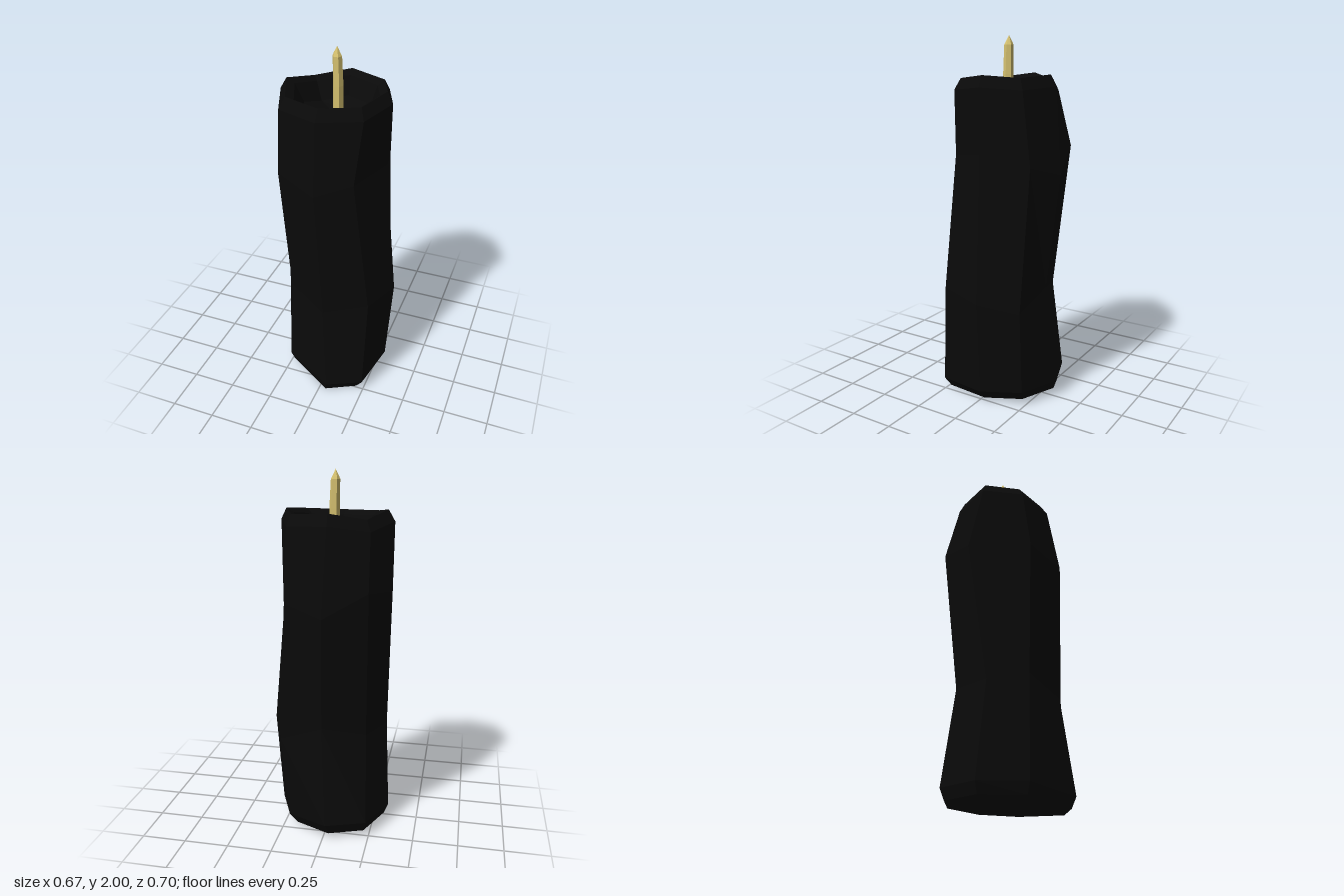
import * as THREE from 'three';

// Closed skin through stacked rings of points, with a fan at each end
function loft(rings, bottom, top) {
  const n = rings[0].length, idx = [];
  const pos = [...rings.flat(2), ...bottom, ...top];
  const c0 = rings.length * n, c1 = c0 + 1, last = c0 - n;
  for (let i = 0; i < n; i++) {
    const k = (i + 1) % n;
    for (let j = 0; j < last; j += n) idx.push(j + i, j + k, j + n + i, j + k, j + n + k, j + n + i);
    idx.push(c0, k, i, c1, last + i, last + k);
  }
  const g = new THREE.BufferGeometry();
  g.setAttribute('position', new THREE.Float32BufferAttribute(pos, 3));
  g.setIndex(idx);
  g.computeVertexNormals();
  return g;
}

// Ellipse of points between x and z extents, running from +x towards -z
function ring(sides, y, x0, x1, z0, z1) {
  return Array.from({ length: sides }, (_, i) => {
    const a = i / sides * Math.PI * 2;
    return [(x0 + x1 + Math.cos(a) * (x1 - x0)) / 2, y, (z0 + z1 - Math.sin(a) * (z1 - z0)) / 2];
  });
}

// Eight-sided ring pushed out of true: a height per point, and [dx, dz] dents by point number
function waxRing(y, extents, heights, dents = {}) {
  const [x0, x1, z0, z1] = extents, cx = (x0 + x1) / 2, cz = (z0 + z1) / 2;
  return ring(8, y, ...extents).map(([x, py, z], i) => {
    const bulge = i % 2 ? 1.04 : 1, [dx, dz] = dents[i] ?? [0, 0];
    return [cx + (x - cx) * bulge + dx, py + heights[i], cz + (z - cz) * bulge + dz];
  });
}

export function createModel() {
  const model = new THREE.Group();
  const wax = new THREE.MeshStandardMaterial({ color: 0x0a0a0a, flatShading: true });
  const cord = new THREE.MeshStandardMaterial({ color: 0xd6c270, flatShading: true });

  // Uneven heights around the base, waist, shoulder and lip
  const foot = [0.015, 0.025, 0.03, 0.03, 0.03, 0.03, 0, 0];
  const waist = [0, -0.04, 0.05, 0, 0, 0.04, -0.04, 0.03];
  const shoulder = [0.06, 0, -0.06, 0.07, 0.05, 0.04, -0.01, 0.03];
  const lip = [0.01, -0.003, 0.01, -0.025, 0.01, -0.015, -0.02, -0.01];
  const floor = [0, 0, 0, 0, 0, 0, 0, 0];

  // Dents of the moulded column
  const footDents = {
    0: [0, -0.03], 1: [-0.007, 0.007], 3: [0.015, -0.015], 4: [0, -0.04],
    5: [0.015, -0.055], 6: [0.07, 0], 7: [0.028, 0],
  };
  const waistDents = { 0: [0, -0.035], 1: [0, -0.045], 3: [0.005, 0.005], 5: [0.015, -0.015], 7: [0.01, 0.012] };
  const shoulderDents = {
    1: [0.02, -0.022], 2: [0.03, 0], 3: [0.02, -0.03], 4: [0, -0.09],
    5: [0.007, -0.007], 6: [0.02, 0], 7: [-0.025, -0.025],
  };

  // Column from base to shoulder, then rounded lip and melted hollow
  const rings = [
    waxRing(0, [-0.31, 0.25, -0.315, 0.325], foot, footDents),
    waxRing(0.06, [-0.335, 0.3, -0.34, 0.348], foot, footDents),
    waxRing(0.6, [-0.31, 0.335, -0.28, 0.29], waist, waistDents),
    waxRing(1.34, [-0.335, 0.265, -0.348, 0.325], shoulder, shoulderDents),
    waxRing(1.73, [-0.33, 0.28, -0.305, 0.262], lip, { 3: [0.02, 0.02] }),
    waxRing(1.79, [-0.295, 0.25, -0.27, 0.225], lip, { 3: [0.015, 0.015] }),
    waxRing(1.765, [-0.25, 0.21, -0.23, 0.185], lip),
    waxRing(1.67, [-0.2, 0.175, -0.187, 0.14], lip),
    waxRing(1.63, [-0.1, 0.08, -0.1, 0.06], floor),
  ];
  const body = new THREE.Mesh(loft(rings, [-0.01, 0.015, 0], [-0.01, 1.625, -0.02]), wax);
  body.name = 'waxBody';
  model.add(body);

  // Slim six-sided wick with a pointed end
  const wickRings = [[1.61, 0.029, -0.01], [1.8, 0.028, -0.009], [1.95, 0.025, -0.014], [1.965, 0.018, -0.015]]
    .map(([y, r, x]) => ring(6, y, x - r, x + r, -0.02 - r, -0.02 + r));
  const wick = new THREE.Mesh(loft(wickRings, [-0.01, 1.61, -0.02], [-0.015, 2, -0.02]), cord);
  wick.name = 'wick';
  model.add(wick);

  return model;
}
